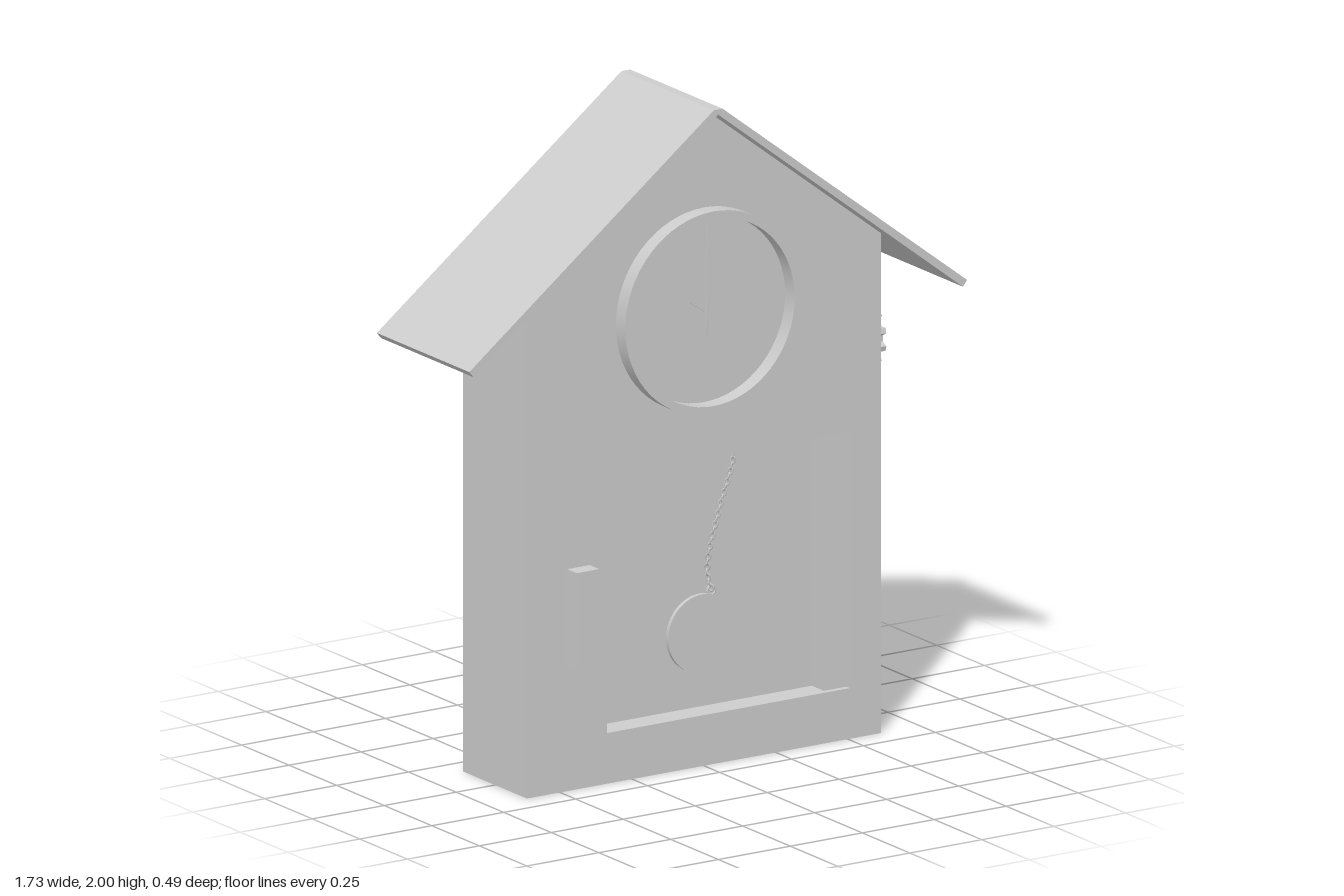
import * as THREE from 'three';
import { toCreasedNormals } from 'three/addons/utils/BufferGeometryUtils.js';

const grey = new THREE.MeshStandardMaterial({ color: 0xcccccc });
grey.name = 'plain grey';

const polygon = (pts) => new THREE.Shape(pts.map(([x, y]) => new THREE.Vector2(x, y)));
const rect = (x0, x1, y0, y1) => polygon([[x0, y0], [x1, y0], [x1, y1], [x0, y1]]);

function circle(r) {
  const s = new THREE.Shape();
  s.absarc(0, 0, r, 0, Math.PI * 2);
  return s;
}

// Extrude a shape from z0 to z1, with optional holes
function slab(shape, z0, z1, holes = []) {
  shape.holes.push(...holes);
  const g = new THREE.ExtrudeGeometry(shape, { depth: z1 - z0, bevelEnabled: false, curveSegments: 32 });
  return toCreasedNormals(g.translate(0, 0, z0), 0.5);
}

export function createModel() {
  const model = new THREE.Group();
  model.name = 'houseClock';
  const add = (name, geometry, parent = model) => {
    const mesh = new THREE.Mesh(geometry, grey);
    mesh.name = name;
    parent.add(mesh);
    return mesh;
  };

  // Hollow gabled case: front with window, walls, back
  const house = () => polygon([[-0.615, 0], [0.615, 0], [0.615, 1.51], [0, 1.984], [-0.615, 1.51]]);
  add('caseFront', slab(house(), 0.15, 0.168, [rect(-0.337, 0.507, 0.153, 0.925)]));
  add('caseWalls', slab(house(), -0.105, 0.15, [rect(-0.555, 0.555, 0.086, 1.0)]));
  add('caseBack', slab(house(), -0.167, -0.105));

  // Thin pitched roof with a narrow flat ridge
  add('roof', slab(polygon([
    [-0.85, 1.328], [0, 1.984], [0.85, 1.328], [0.865, 1.346],
    [0.015, 2], [-0.015, 2], [-0.865, 1.346],
  ]), -0.243, 0.243));

  // Clock rim and hands
  const clock = new THREE.Group();
  clock.name = 'clock';
  clock.position.set(0, 1.38, 0.168);
  model.add(clock);
  add('clockRim', slab(circle(0.306), 0, 0.05, [circle(0.282)]), clock);
  const hand = (tail, tip, w) => slab(polygon([[-tail, 0], [0, -w], [tip, 0], [0, w]]), -0.002, 0.002);
  const hourHand = add('hourHand', hand(0.065, 0.163, 0.008), clock);
  hourHand.position.z = 0.015;
  hourHand.rotation.z = -0.475;
  const minuteHand = add('minuteHand', hand(0.08, 0.27, 0.008).rotateX(Math.PI / 2), clock);
  minuteHand.position.z = 0.015;
  minuteHand.rotation.z = Math.PI / 2;

  // Door handle
  add('handle', new THREE.BoxGeometry(0.078, 0.29, 0.05).translate(-0.436, 0.525, 0.193));

  // Toothed winding ring on the side
  const teeth = 12, outline = [];
  for (let i = 0; i < teeth; i++) {
    for (const [f, r] of [[0.02, 0.086], [0.26, 0.105], [0.74, 0.105], [0.98, 0.086], [1.3, 0.086]]) {
      if (f > 1) continue;
      const a = ((0.2 + f * 0.6 + i) / teeth) * Math.PI * 2;
      outline.push([r * Math.cos(a), r * Math.sin(a)]);
    }
  }
  const gear = add('windingGear', slab(polygon(outline), 0, 0.038, [circle(0.07)]));
  gear.rotation.y = Math.PI / 2;
  gear.position.set(0.614, 1.175, 0.037);

  // Pendulum: disc, hanging loop and swaying chain
  const pendulum = new THREE.Group();
  pendulum.name = 'pendulum';
  model.add(pendulum);
  add('pendulumDisc', slab(circle(0.117), -0.006, 0.006).translate(0.1, 0.345, 0), pendulum);
  add('pendulumLoop', new THREE.TorusGeometry(0.014, 0.004, 6, 16).translate(0.136, 0.468, 0), pendulum);

  const path = new THREE.CatmullRomCurve3([
    [0.155, 1.0, 0.095], [0.155, 0.88, 0.085], [0.135, 0.75, 0.055],
    [0.117, 0.6, 0.02], [0.123, 0.52, 0], [0.136, 0.475, 0],
  ].map((p) => new THREE.Vector3(...p)));
  const link = new THREE.TorusGeometry(0.007, 0.0025, 6, 12).scale(1, 1.5, 1);
  const up = new THREE.Vector3(0, 1, 0);
  const links = 32;
  for (let i = 0; i < links; i++) {
    const t = i / (links - 1);
    const mesh = add('chainLink', link, pendulum);
    mesh.position.copy(path.getPointAt(t));
    mesh.quaternion.setFromUnitVectors(up, path.getTangentAt(t).negate());
    mesh.rotateY(Math.PI / 4 + (i % 2) * Math.PI / 2);
  }
  return model;
}
